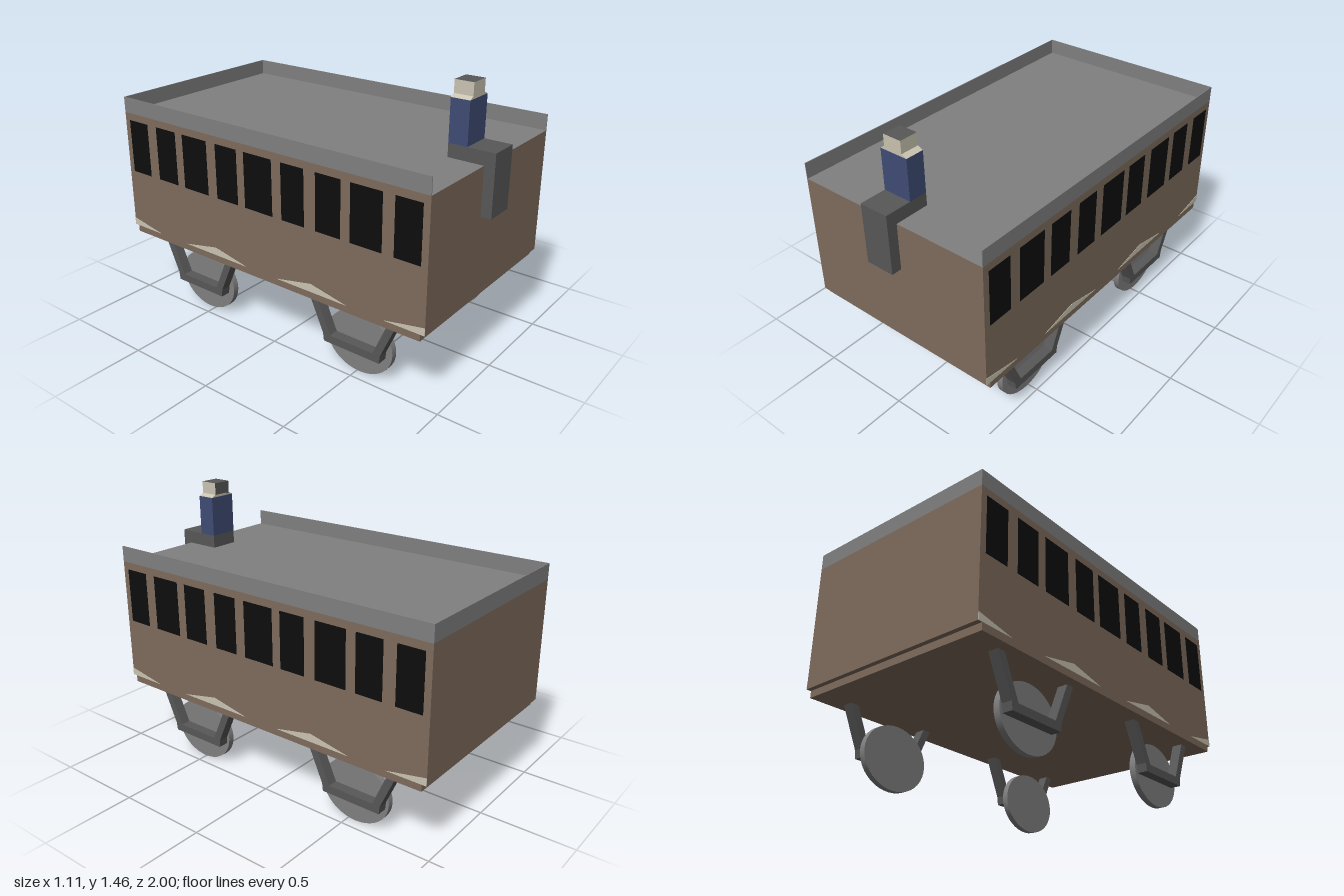
import * as THREE from 'three';

const mat = (name, color) => Object.assign(new THREE.MeshStandardMaterial({ color }), { name });

export function createModel() {
  const brown = mat('brown body', 0x7f6c5d);
  const grey = mat('mid grey', 0x808080);
  const dark = mat('dark grey', 0x585858);
  const black = mat('window black', 0x0d0d0d);
  const cream = mat('cream', 0xcac4b2);
  const blue = mat('coat blue', 0x3f4c75);

  const model = new THREE.Group();
  model.name = 'carriage';

  const add = (name, geometry, material) => {
    const mesh = new THREE.Mesh(geometry, material);
    mesh.name = name;
    model.add(mesh);
    return mesh;
  };
  // Box given by its limits on each axis
  const box = (name, material, [x0, x1], [y0, y1], [z0, z1]) => {
    const g = new THREE.BoxGeometry(x1 - x0, y1 - y0, z1 - z0);
    g.translate((x0 + x1) / 2, (y0 + y1) / 2, (z0 + z1) / 2);
    return add(name, g, material);
  };
  // Side outline of [z, y] points, extruded along x from x0 to x1
  const sidePlate = (name, material, points, x0, x1) => {
    const shape = new THREE.Shape(points.map(([z, y]) => new THREE.Vector2(-z, y)));
    const g = new THREE.ExtrudeGeometry(shape, { depth: x1 - x0, bevelEnabled: false });
    g.rotateY(Math.PI / 2).translate(x0, 0, 0);
    return add(name, g, material);
  };

  const W = 0.553, BACK = -1, FRONT = 0.945, ROOF = 1.09, RIM = 1.175;

  // Body with a grey roof (material order: +x, -x, +y, -y, +z, -z)
  box('body', [brown, brown, grey, brown, brown, brown], [-W, W], [0.422, ROOF], [BACK, FRONT]);
  box('underframe', brown, [-W, W], [0.385, 0.422], [-0.975, 0.92]);

  // Roof rim on three sides, open at the front
  box('rearRim', grey, [-W, W], [ROOF, RIM], [BACK, BACK + 0.004]);
  for (const s of [-1, 1]) {
    const x = s * (W - 0.002);
    box('sideRim', grey, [x - 0.002, x + 0.002], [ROOF, RIM], [BACK, FRONT]);
  }

  const windows = [
    [0.77, 0.91], [0.53, 0.705], [0.33, 0.475], [0.12, 0.26], [-0.12, 0.06],
    [-0.315, -0.17], [-0.555, -0.38], [-0.755, -0.61], [-0.965, -0.825],
  ];
  const trims = [
    [[FRONT, 0.422], [FRONT, 0.462], [0.725, 0.422]],
    [[0.51, 0.422], [0.295, 0.465], [0.08, 0.422]],
    [[-0.135, 0.422], [-0.35, 0.465], [-0.57, 0.422]],
    [[-0.785, 0.422], [BACK, 0.462], [BACK, 0.422]],
  ];
  // Wheel hanger outline around its own centre
  const hanger = [
    [0.267, 0.39], [0.172, 0.178], [0.167, 0.135], [-0.167, 0.135],
    [-0.172, 0.178], [-0.267, 0.39], [-0.222, 0.39], [-0.128, 0.178],
    [0.128, 0.178], [0.222, 0.39],
  ];

  for (const s of [-1, 1]) {
    const xs = (a, b) => (s > 0 ? [a, b] : [-b, -a]);
    const skin = xs(W - 0.002, W + 0.002);
    windows.forEach((z) => box('window', black, skin, [0.755, 1.05], z));
    trims.forEach((t) => sidePlate('lowerTrim', cream, t, ...skin));

    // Running gear
    for (const zc of [0.51, -0.54]) {
      sidePlate('wheelHanger', dark, hanger.map(([z, y]) => [z + zc - 0.01, y]), ...xs(0.443, 0.498));
      const wheel = new THREE.CylinderGeometry(1, 1, 0.033, 40);
      wheel.rotateZ(Math.PI / 2).scale(1, 0.166, 0.197).translate(s * 0.426, 0.166, zc);
      add('wheel', wheel, grey);
    }
  }

  // Seated driver: thighs on the roof, shins down the front
  const body = [-0.105, 0.055], depth = [0.755, 0.855];
  box('driverThighs', dark, body, [ROOF, 1.16], [0.755, FRONT]);
  box('driverShins', dark, body, [0.84, 1.16], [FRONT, 1]);
  box('driverTorso', blue, body, [1.16, 1.377], depth);

  // Tapered collar
  const collar = new THREE.Shape([
    [-0.105, 1.377], [0.055, 1.377], [0.026, 1.39], [-0.079, 1.39],
  ].map(([x, y]) => new THREE.Vector2(x, y)));
  const collarGeo = new THREE.ExtrudeGeometry(collar, { depth: 0.1, bevelEnabled: false });
  add('driverCollar', collarGeo.translate(0, 0, 0.755), cream);

  // Head with dark hair on the top and back faces
  box('driverHead', [cream, cream, dark, cream, cream, dark], [-0.079, 0.026], [1.385, 1.455], depth);

  return model;
}
